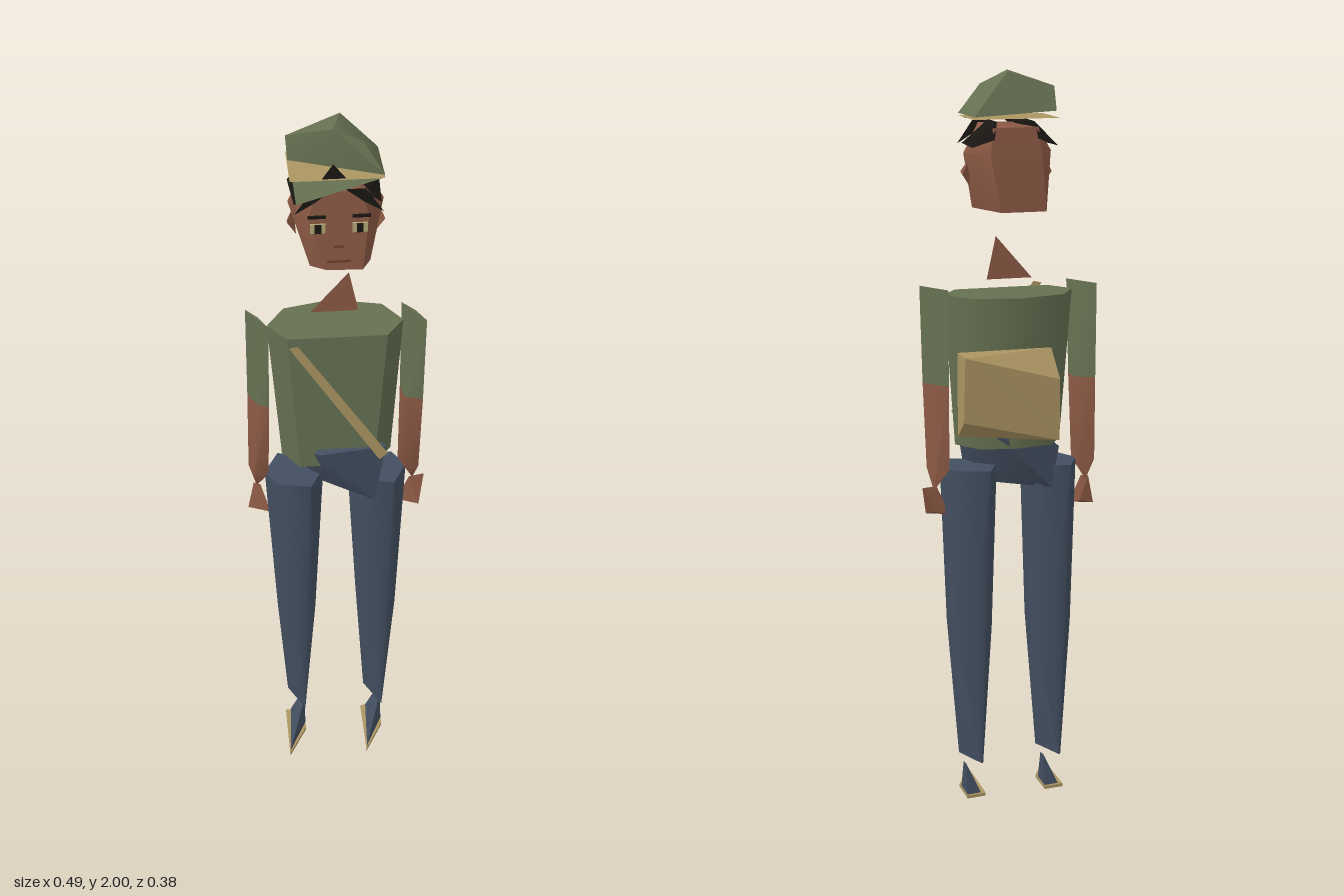
import * as THREE from 'three';
import { toCreasedNormals } from 'three/addons/utils/BufferGeometryUtils.js';
import { ConvexGeometry } from 'three/addons/geometries/ConvexGeometry.js';

const paint = (name, hex) => {
  const m = new THREE.MeshStandardMaterial({ color: hex, side: THREE.DoubleSide });
  m.name = name;
  return m;
};

export function createModel() {
  const model = new THREE.Group();
  const green = paint('olive cloth', 0x667152);
  const blue = paint('navy cloth', 0x434f61);
  const tan = paint('tan canvas', 0xac9562);
  const skin = paint('skin', 0x8d5a45);
  const hairColor = paint('black hair', 0x1a1713);
  const eyeColor = paint('pale eye', 0xb5a878);
  const lip = paint('lip', 0x6d4132);

  const add = (name, geo, mat, parent = model) => {
    const mesh = new THREE.Mesh(geo, mat);
    mesh.name = name;
    parent.add(mesh);
    return mesh;
  };
  // Convex solid around a handful of corner points, smooth across shallow edges
  const solid = (name, pts, mat, parent, crease = 0.9) => add(name,
    toCreasedNormals(new ConvexGeometry(pts.map(p => new THREE.Vector3(...p))), crease), mat, parent);
  // Horizontal ring of corners at one height
  const ring = (y, xz) => xz.map(([x, z]) => [x, y, z]);
  // Flat polygon facing front
  const flat = (name, xy, z, mat, parent) => {
    const geo = new THREE.ShapeGeometry(new THREE.Shape(xy.map(p => new THREE.Vector2(...p))));
    return add(name, geo.translate(0, 0, z), mat, parent);
  };
  // Flat polygon facing up
  const level = (name, xz, y, mat, parent) => {
    const geo = new THREE.ShapeGeometry(new THREE.Shape(xz.map(([x, z]) => new THREE.Vector2(x, -z))));
    return add(name, geo.rotateX(-Math.PI / 2).translate(0, y, 0), mat, parent);
  };

  // Torso
  solid('torso', [
    ...ring(1.42, [[-0.178, 0], [-0.13, 0.07], [0.13, 0.07], [0.178, 0], [0.13, -0.08], [0, -0.113], [-0.13, -0.08]]),
    ...ring(1.01, [[-0.145, 0], [-0.1, 0.068], [0.1, 0.068], [0.15, 0], [0.1, -0.075], [0, -0.093], [-0.1, -0.075]]),
  ], green);
  flat('neck', [[-0.065, 1.455], [0.06, 1.455], [0.035, 1.57]], 0, skin);

  // Pelvis wedge, closing to a slanting lower edge
  solid('pelvis', [
    ...ring(1.065, [[-0.05, 0.095], [0.13, 0.07], [0.07, -0.095], [-0.05, -0.08]]),
    ...ring(1.0, [[-0.125, -0.06], [-0.03, 0.08]]),
    ...ring(0.89, [[-0.1, -0.075], [0.1, 0.075]]),
  ], blue);

  // Legs and shoes, alike on both sides
  for (const [side, x] of [['right', -0.113], ['left', 0.113]]) {
    const leg = new THREE.Group();
    leg.name = side + 'Leg';
    leg.position.x = x;
    model.add(leg);
    solid('trouserLeg', [
      ...ring(0.95, [[-0.08, 0], [-0.04, -0.082], [0.048, -0.06], [0.08, 0], [0.04, 0.08], [-0.048, 0.06]]),
      ...ring(0.5, [[-0.052, -0.045], [0, -0.065], [0.054, -0.035], [0.052, 0.045], [0, 0.062], [-0.054, 0.035]]),
      ...ring(0.1, [[-0.025, -0.05], [0.02, 0.042], [-0.02, -0.052]]),
    ], blue, leg);
    solid('shoe', [
      [0.022, 0.1, -0.04], [0.018, 0.09, 0], [-0.03, 0.012, 0.125],
      [0.022, 0.012, 0.01], [0.022, 0.012, -0.055], [-0.018, 0.012, -0.05],
    ], blue, leg, 0.3);
    const sole = [[-0.032, 0.135], [0.022, 0.03], [0.022, -0.055], [-0.032, -0.05]];
    solid('sole', [...ring(0, sole), ...ring(0.009, sole)], tan, leg, 0.3);
  }

  // Thin arms: a sleeve above a bare forearm and a small hand
  for (const [side, x, m] of [['right', -0.205, 1], ['left', 0.205, -1]]) {
    const arm = new THREE.Group();
    arm.name = side + 'Arm';
    arm.position.x = x;
    model.add(arm);
    const elbow = ring(1.18, [[-0.027, -0.045], [0.027, 0.025], [0.012 * m + 0.008, -0.015], [0.008 * m - 0.012, 0.008]]);
    solid('sleeve', [...ring(1.44, [[-0.026, -0.052], [0.029, 0.042], [0.006, -0.01]]), ...elbow], green, arm);
    solid('forearm', [
      ...elbow,
      ...ring(0.95, [[-0.03, -0.035], [0.022, 0.01], [0.012, -0.02], [-0.018, 0.008]]),
      [-0.01 * m, 0.89, -0.02],
    ], skin, arm);
    solid('hand', [
      [0.012 - 0.03 * m, 0.9, -0.02], [-0.035, 0.82, -0.015],
      [0.025, 0.82, 0.012], [0.0, 0.9, -0.01], [0.005, 0.83, -0.018],
    ], skin, arm, 0.4);
  }

  // Head with a slanting jaw
  const head = new THREE.Group();
  head.name = 'head';
  model.add(head);
  solid('skull', [
    ...ring(1.64, [[-0.083, -0.072], [-0.07, 0.075], [-0.03, 0.1], [0.06, 0.104], [0.083, 0.06], [0.04, -0.072]]),
    ...ring(1.79, [[-0.12, 0.01], [-0.075, 0.1], [0.075, 0.104], [0.12, 0.01], [0.07, -0.075], [-0.07, -0.075]]),
    ...ring(1.86, [[-0.055, 0.1], [0.055, 0.1], [0.06, -0.072], [-0.06, -0.072]]),
  ], skin);

  // Face details and ears, mirrored
  for (const s of [-1, 1]) {
    const box = (name, w, h, px, py, z, mat) =>
      add(name, new THREE.BoxGeometry(w, h, 0.004).translate(px, py, z), mat, head);
    box('eye', 0.038, 0.026, s * 0.052, 1.763, 0.107, eyeColor);
    box('pupil', 0.016, 0.024, s * 0.052, 1.763, 0.11, hairColor);
    box('eyebrow', 0.045, 0.008, s * 0.055, 1.795, 0.107, hairColor);
    solid('ear', [[s * 0.105, 1.775, 0.01], [s * 0.123, 1.74, 0.03], [s * 0.1, 1.7, 0.018], [s * 0.122, 1.735, 0.008]],
      skin, head, 0.3);
    // Side lock of hair
    solid('sideHair', [
      [s * 0.108, 1.81, 0.07], [s * 0.116, 1.81, -0.065], [s * 0.05, 1.875, 0.02],
      [s * 0.05, 1.875, -0.065], [s * 0.06, 1.83, -0.08], [s * 0.03, 1.865, 0.075],
    ], hairColor, head, 0.3);
    // Front lock of hair
    flat('frontHair', [[s * 0.11, 1.805], [s * 0.065, 1.87], [s * 0.015, 1.87], [s * 0.06, 1.835]], 0.108, hairColor, head);
  }
  add('mouth', new THREE.BoxGeometry(0.06, 0.006, 0.004).translate(0, 1.668, 0.106), lip, head);
  add('nose', new THREE.BoxGeometry(0.024, 0.006, 0.004).translate(0, 1.71, 0.106), lip, head);

  // Hat: slanted crown, level brim and one-sided visor
  const hat = new THREE.Group();
  hat.name = 'hat';
  model.add(hat);
  solid('crown', [
    [-0.122, 1.96, -0.01], [-0.11, 1.9, -0.07], [-0.118, 1.9, 0.004], [-0.01, 2, 0.045], [0.015, 2, -0.04],
    [0.065, 1.965, 0.045], [0.115, 1.888, 0.078], [0.112, 1.888, -0.072],
  ], green, hat, 0.7);
  level('brim', [[-0.118, 0.083], [0.115, 0.083], [0.115, -0.075], [-0.118, -0.075]], 1.882, tan, hat);
  level('visor', [[-0.11, 0.185], [0.11, 0.07], [-0.11, 0.07]], 1.875, green, hat);
  flat('hatTuft', [[-0.04, 1.885], [0.02, 1.885], [-0.012, 1.925]], 0.082, hairColor, hat);

  // Satchel behind the back and its strap across the chest
  solid('satchel', [
    [-0.085, 1.285, -0.112], [0.172, 1.285, -0.112], [0.172, 1.285, -0.19], [-0.085, 1.215, -0.19],
    [-0.085, 1.05, -0.112], [0.172, 1.06, -0.112], [0.172, 1.11, -0.175], [-0.085, 1.05, -0.188],
  ], tan, model, 0.3);
  flat('strap', [[-0.128, 1.42], [-0.105, 1.425], [0.13, 1.075], [0.108, 1.055]], 0.113, tan);

  return model;
}
